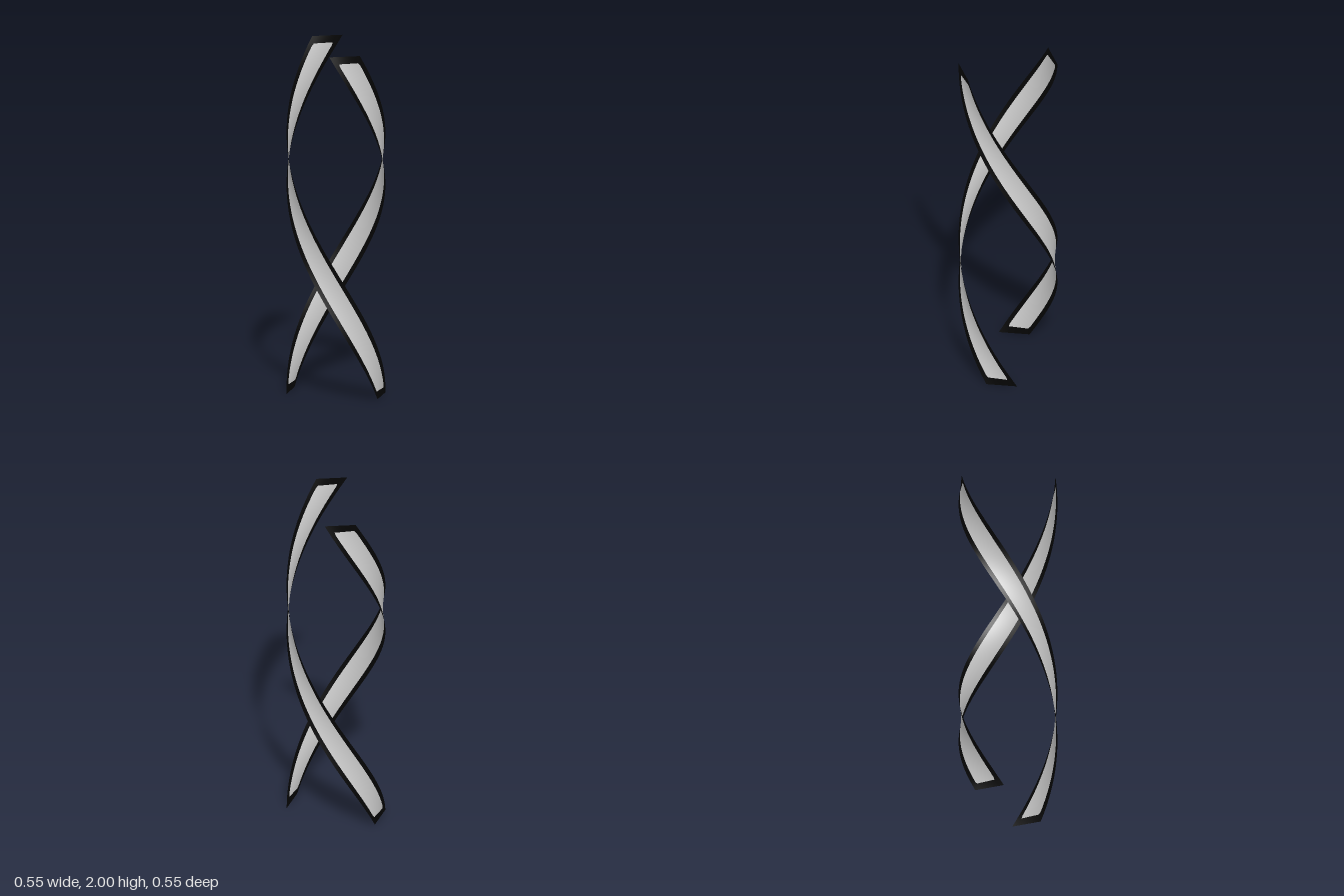
import * as THREE from 'three';

const HEIGHT = 2, MID_RADIUS = 0.263, HALF_WIDTH = 0.087, TURN = THREE.MathUtils.degToRad(122.5);
const SIDE_BORDER = 0.027, END_BORDER = 0.042, ROWS = 120;

// A flat horizontal chord swept up the axis while it turns; the rim is black.
function ribbonGeometry(startAngle) {
  const heights = [0];
  for (let i = 0; i <= ROWS; i++) heights.push(END_BORDER + (HEIGHT - 2 * END_BORDER) * i / ROWS);
  heights.push(HEIGHT);
  const inner = HALF_WIDTH - SIDE_BORDER;
  const columns = [-HALF_WIDTH, -inner, -inner / 2, 0, inner / 2, inner, HALF_WIDTH];
  const positions = [], face = [], rim = [];
  const n = columns.length;
  heights.forEach((y, r) => {
    const a = startAngle - TURN * (y - HEIGHT / 2);
    const s = Math.sin(a), c = Math.cos(a);
    // slightly clipped corners on the grey field
    const taper = r <= 1 || r >= heights.length - 2 ? 0.92 : 1;
    columns.forEach((u, k) => {
      const w = k === 0 || k === n - 1 ? u : u * taper;
      positions.push(MID_RADIUS * s + w * c, y, MID_RADIUS * c - w * s);
    });
    if (r === heights.length - 1) return;
    for (let k = 0; k < n - 1; k++) {
      const p = r * n + k, q = p + n;
      const isRim = r === 0 || r === heights.length - 2 || k === 0 || k === n - 2;
      (isRim ? rim : face).push(p, p + 1, q + 1, p, q + 1, q);
    }
  });
  const geometry = new THREE.BufferGeometry();
  geometry.setAttribute('position', new THREE.Float32BufferAttribute(positions, 3));
  geometry.setIndex([...face, ...rim]);
  geometry.addGroup(0, face.length, 0);
  geometry.addGroup(face.length, rim.length, 1);
  geometry.computeVertexNormals();
  return geometry;
}

export function createModel() {
  const grey = new THREE.MeshStandardMaterial({ color: 0xd0d0d0, side: THREE.DoubleSide });
  grey.name = 'light grey';
  const black = new THREE.MeshStandardMaterial({ color: 0x050505, side: THREE.DoubleSide });
  black.name = 'black';

  const group = new THREE.Group();
  group.name = 'doubleHelix';
  // Two ribbons half a turn apart
  [['leftRibbon', 1], ['rightRibbon', -1]].forEach(([name, side]) => {
    const ribbon = new THREE.Mesh(ribbonGeometry(side * Math.PI / 2), [grey, black]);
    ribbon.name = name;
    group.add(ribbon);
  });
  return group;
}
